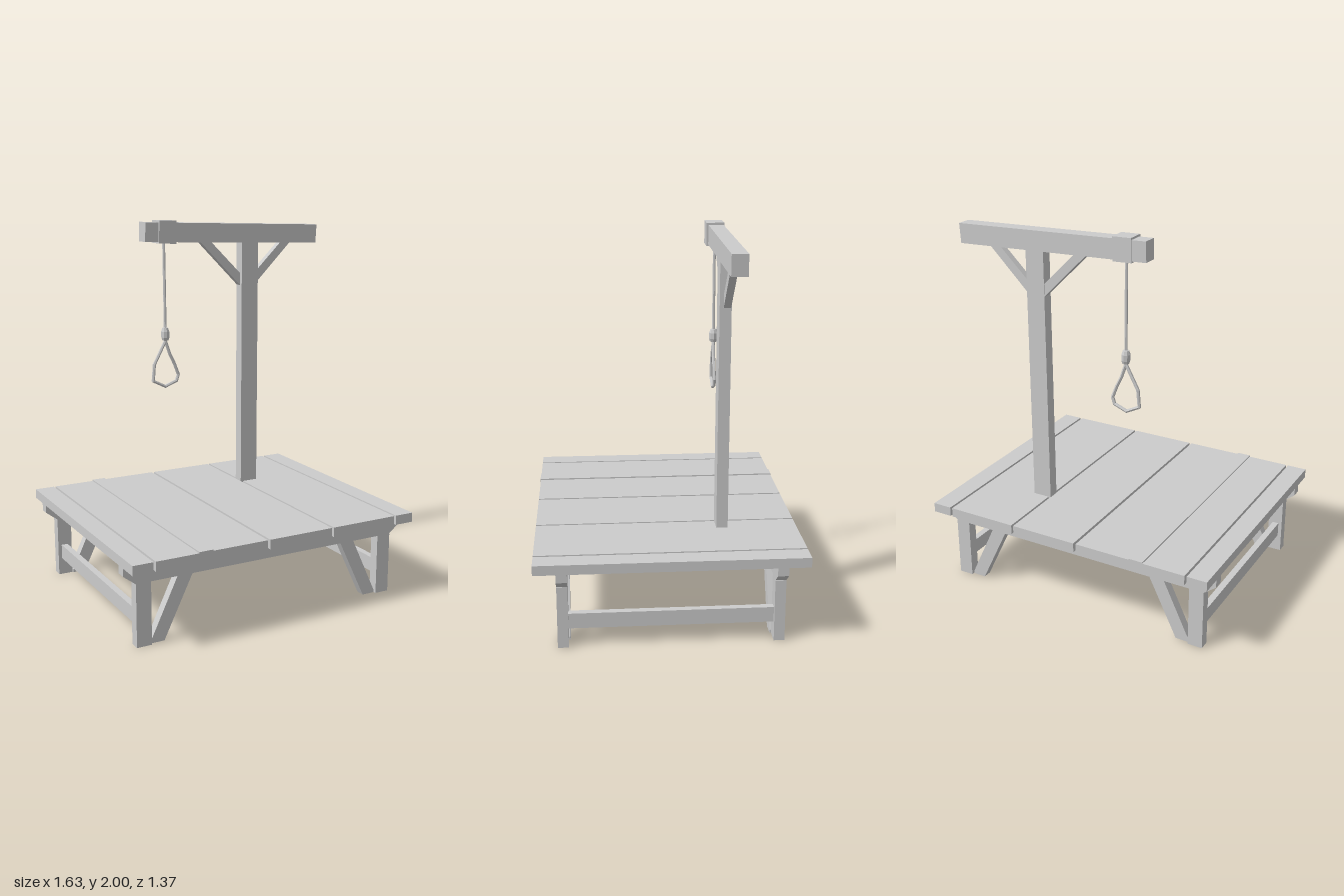
import * as THREE from 'three';

const material = new THREE.MeshStandardMaterial({ color: 0xcccccc, flatShading: true });

export function createModel() {
  const model = new THREE.Group();

  const add = (name, geometry) => {
    const mesh = new THREE.Mesh(geometry, material);
    mesh.name = name;
    model.add(mesh);
    return mesh;
  };

  // Box given by its limits on each axis
  const block = (name, x0, x1, y0, y1, z0, z1) => add(name,
    new THREE.BoxGeometry(x1 - x0, y1 - y0, z1 - z0)
      .translate((x0 + x1) / 2, (y0 + y1) / 2, (z0 + z1) / 2));

  // Outline in x and y, extruded from z0 to z1
  const prism = (name, points, z0, z1) => add(name,
    new THREE.ExtrudeGeometry(new THREE.Shape(points.map(p => new THREE.Vector2(...p))),
      { depth: z1 - z0, bevelEnabled: false }).translate(0, 0, z0));

  // Straight piece of rope between two points
  const rope = (name, a, b, radius) => {
    const from = new THREE.Vector3(...a), to = new THREE.Vector3(...b);
    const dir = to.clone().sub(from);
    const mesh = add(name, new THREE.CylinderGeometry(radius, radius, dir.length() + radius * 0.7, 6));
    mesh.position.copy(from).add(to).multiplyScalar(0.5);
    mesh.quaternion.setFromUnitVectors(new THREE.Vector3(0, 1, 0), dir.normalize());
  };

  // Deck planks with narrow gaps, and one raised batten
  for (const [x0, x1] of [[-0.82, -0.712], [-0.7, -0.086], [-0.072, 0.297], [0.309, 0.695], [0.708, 0.815]])
    block('deckPlank', x0, x1, 0.422, 0.473, -0.682, 0.682);
  block('deckBatten', -0.47, -0.395, 0.43, 0.48, -0.684, 0.684);

  // Trestles: chamfered bearer, legs and slanted braces at front and back
  for (const s of [-1, 1]) {
    const range = (a, b) => (s > 0 ? [a, b] : [-b, -a]);
    prism('bearer', [[-0.755, 0.33], [0.752, 0.33], [0.815, 0.38], [0.815, 0.422], [-0.82, 0.422], [-0.82, 0.38]],
      ...range(0.515, 0.57));
    for (const side of [-1, 1]) {
      const x = [side * 0.675, side * 0.755].sort((a, b) => a - b);
      block('leg', ...x, 0, 0.33, ...range(0.515, 0.57));
      prism('legBrace', [[0.6, 0], [0.672, 0], [0.672, 0.015], [0.52, 0.335], [0.437, 0.335]].map(([px, py]) => [side * px, py]),
        ...range(0.507, 0.555));
    }
  }

  // Side stretchers between the legs
  block('stretcher', 0.7, 0.735, 0.095, 0.175, -0.52, 0.52);
  block('stretcher', -0.735, -0.7, 0.095, 0.175, -0.52, 0.52);

  // Upright post, tilted crossbeam and collar
  block('post', 0.295, 0.4, 0.43, 1.88, -0.32, -0.26);
  prism('crossbeam', [[-0.3, 1.888], [0.787, 1.85], [0.793, 1.955], [-0.297, 1.992]], -0.34, -0.26);
  prism('collar', [[-0.223, 1.878], [-0.12, 1.874], [-0.116, 1.997], [-0.219, 2]], -0.345, -0.25);

  // Knee braces under the crossbeam
  prism('kneeBrace', [[0.3, 1.622], [0.3, 1.69], [0.1, 1.885], [0.035, 1.885]], -0.317, -0.28);
  prism('kneeBrace', [[0.395, 1.632], [0.635, 1.87], [0.57, 1.87], [0.395, 1.7]], -0.317, -0.28);

  // Hanging rope and its knot
  const z = -0.3;
  rope('hangingRope', [-0.172, 1.89, z], [-0.168, 1.4, z], 0.008);
  const knotProfile = [[0, 1.34], [0.018, 1.343], [0.024, 1.36], [0.024, 1.392], [0.016, 1.413], [0, 1.415]];
  add('knot', new THREE.LatheGeometry(knotProfile.map(p => new THREE.Vector2(...p)), 8).translate(-0.168, 0, z));

  // Closed angular loop
  const loop = [[-0.168, 1.34], [-0.142, 1.265], [-0.115, 1.21], [-0.09, 1.145], [-0.102, 1.11],
    [-0.172, 1.083], [-0.245, 1.12], [-0.237, 1.212]];
  loop.forEach((p, i) => rope('ropeLoop', [...p, z], [...loop[(i + 1) % loop.length], z], 0.009));

  return model;
}
